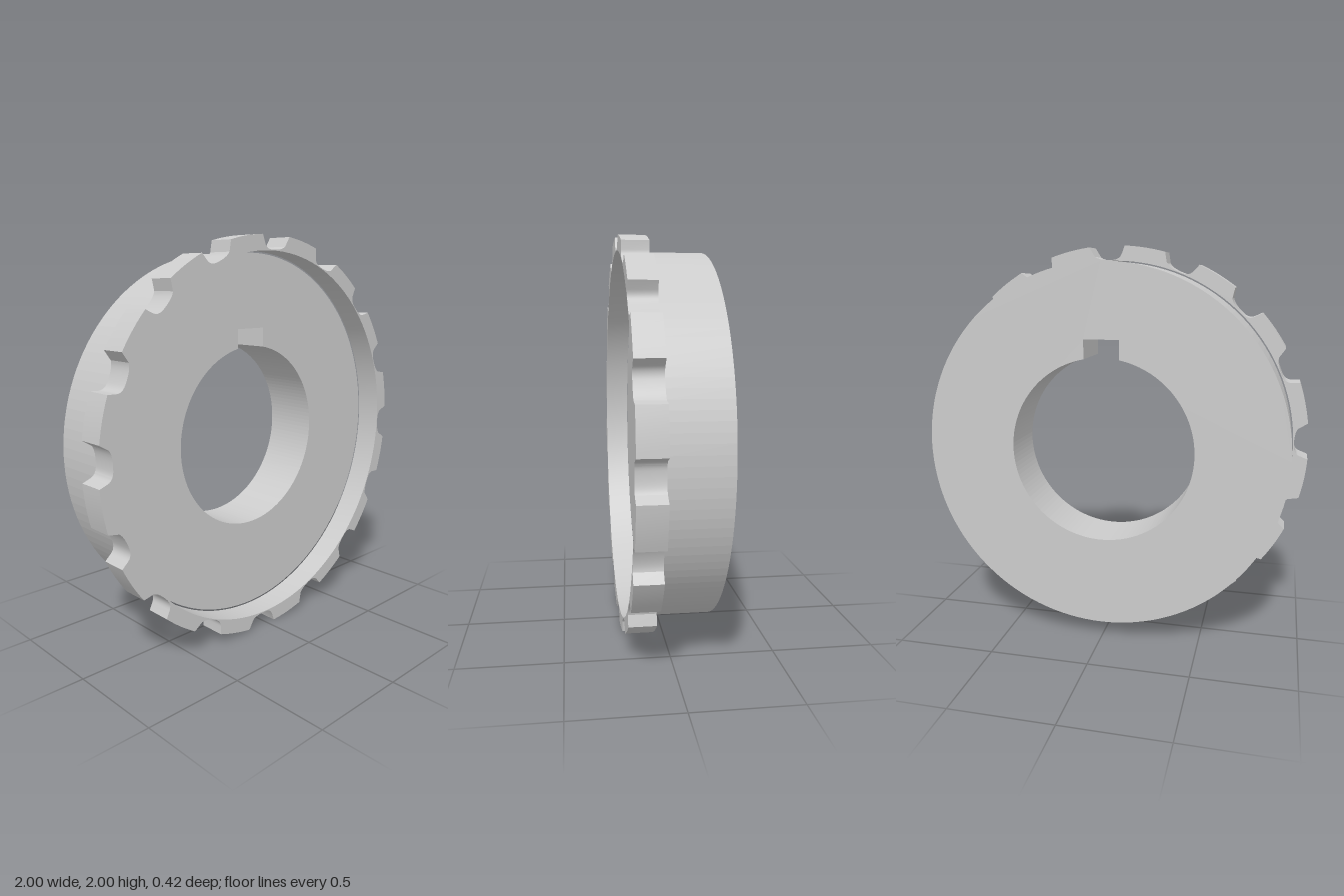
import * as THREE from 'three';
import { toCreasedNormals } from 'three/addons/utils/BufferGeometryUtils.js';

const TEETH = 16;
const BACK = -0.208, STEP = 0.077, FRONT = 0.208;

// Point at radius r, a degrees clockwise from the top.
const polar = (r, a) => {
  const t = THREE.MathUtils.degToRad(a);
  return new THREE.Vector2(r * Math.sin(t), r * Math.cos(t));
};

// Extrude a shape from z0 to z1; edges sharper than crease stay hard.
function plate(name, shape, z0, z1, crease, material) {
  const geometry = new THREE.ExtrudeGeometry(shape, {
    depth: z1 - z0, bevelEnabled: false, curveSegments: 64,
  });
  const mesh = new THREE.Mesh(toCreasedNormals(geometry, crease), material);
  mesh.name = name;
  mesh.position.z = z0;
  return mesh;
}

// Round hub with a keyed bore
function hubShape() {
  const shape = new THREE.Shape().absarc(0, 0, 0.918, 0, Math.PI * 2);
  const r = 0.463, w = 0.088, top = 0.551;
  const a = Math.acos(w / r);
  const bore = new THREE.Path();
  bore.moveTo(w, top);
  bore.lineTo(w, r * Math.sin(a));
  bore.absarc(0, 0, r, a, Math.PI - a, true);
  bore.lineTo(-w, top);
  bore.closePath();
  shape.holes.push(bore);
  return shape;
}

// Thin ring whose rim is cut by asymmetric rounded notches
function ringShape() {
  const points = [];
  for (let i = 0; i < TEETH; i++) {
    const a = (i * 360) / TEETH;
    const steepSide = new THREE.QuadraticBezierCurve(
      polar(0.96, a - 2.2), polar(0.932, a - 1.6), polar(0.929, a + 0.6));
    const shallowSide = new THREE.QuadraticBezierCurve(
      polar(0.929, a + 0.6), polar(0.929, a + 4.8), polar(0.95, a + 6.2));
    points.push(polar(1, a - 2.95));
    points.push(...steepSide.getPoints(6), ...shallowSide.getPoints(6).slice(1));
    // Tooth tip arc up to the next notch
    for (let k = 0; k < 6; k++) points.push(polar(1, a + 7.6 + (k * 11.95) / 6));
  }
  // Counter-clockwise outline with a clockwise hole, so every wall faces outwards
  const shape = new THREE.Shape(points.reverse());
  shape.holes.push(new THREE.Path().absarc(0, 0, 0.925, 0, Math.PI * 2, true));
  return shape;
}

export function createModel() {
  const group = new THREE.Group();
  group.name = 'notchedWheel';
  const material = new THREE.MeshStandardMaterial({ color: 0xcccccc });
  group.add(
    plate('hub', hubShape(), BACK, STEP, 0.03, material),
    plate('toothedRing', ringShape(), STEP, FRONT, 0.35, material),
  );
  group.position.y = 1;
  return group;
}
